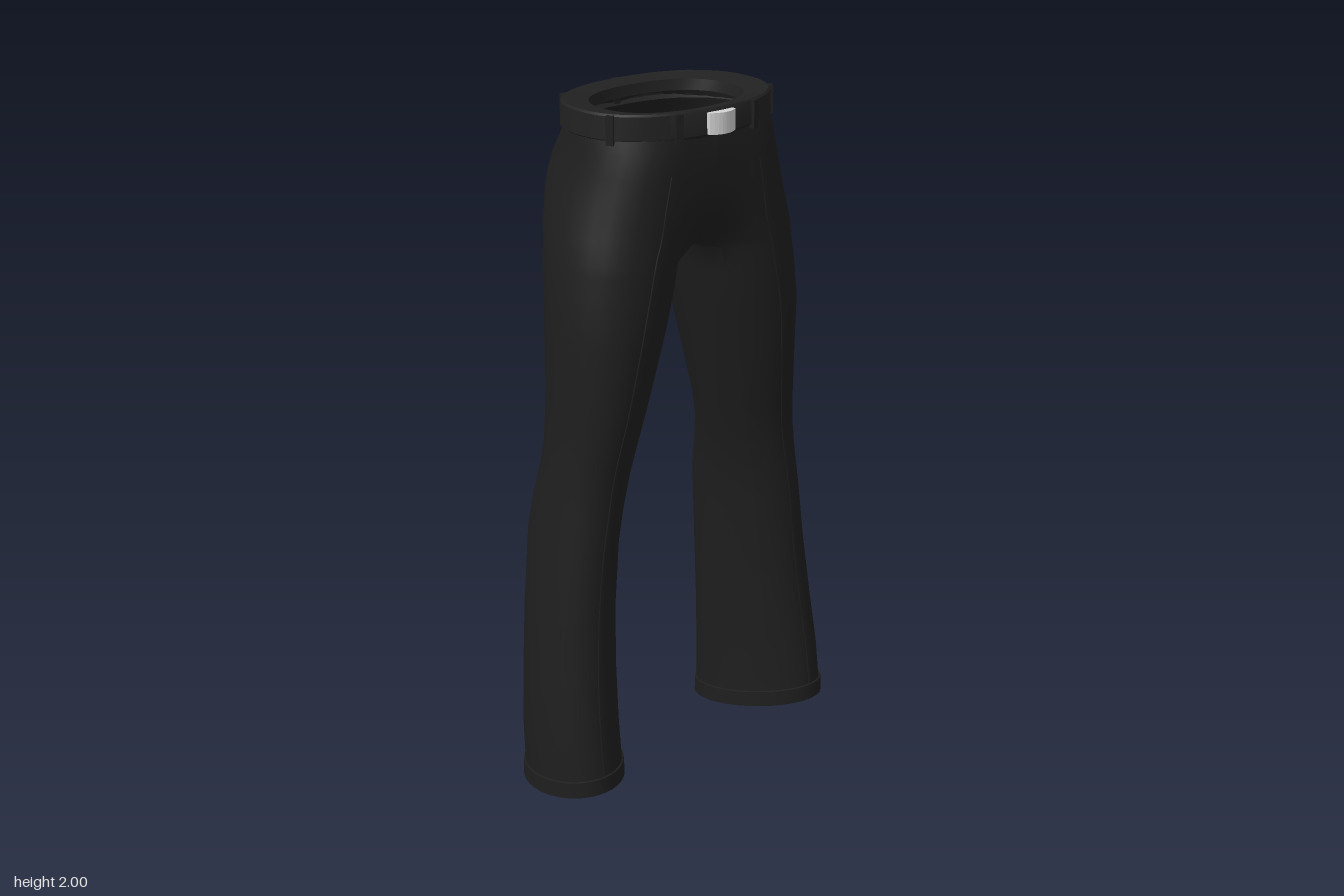
import * as THREE from 'three';
import { toCreasedNormals } from 'three/addons/utils/BufferGeometryUtils.js';

const mat = (name, color) => {
  const m = new THREE.MeshStandardMaterial({ color, side: THREE.DoubleSide });
  m.name = name;
  return m;
};

const SEG = 5, ARC = 16; // points per inner section and along the outer arc
const MID = -0.013;      // the waist sits slightly to the right of the feet

// Hip rows, open at the centre:
// y, outer x, front peak x, back peak x, front z, back z, centre front z, centre back z
const HIPS = [
  [1.96, 0.286, 0.08, 0.05, 0.209, -0.190, 0.210, -0.190],
  [1.90, 0.295, 0.12, 0.08, 0.218, -0.216, 0.221, -0.206],
  [1.84, 0.306, 0.15, 0.10, 0.217, -0.246, 0.219, -0.234],
  [1.79, 0.320, 0.16, 0.11, 0.217, -0.253, 0.216, -0.240],
  [1.74, 0.334, 0.17, 0.12, 0.216, -0.248, 0.210, -0.220],
  [1.68, 0.352, 0.18, 0.14, 0.215, -0.224, 0.187, -0.165],
  [1.615, 0.366, 0.20, 0.16, 0.214, -0.198, 0.130, -0.100],
];

// Leg rows, closed: y, inner x, outer x, front peak x, back peak x, front z, back z, tilt
const LEGS = [
  [1.59, 0.015, 0.370, 0.205, 0.180, 0.214, -0.190, 0],
  [1.52, 0.031, 0.379, 0.220, 0.195, 0.214, -0.168, 0],
  [1.40, 0.063, 0.388, 0.245, 0.215, 0.212, -0.150, 0],
  [1.20, 0.118, 0.391, 0.275, 0.245, 0.190, -0.135, 0],
  [1.08, 0.148, 0.402, 0.295, 0.265, 0.170, -0.127, 0],
  [1.00, 0.168, 0.412, 0.308, 0.278, 0.160, -0.135, 0],
  [0.90, 0.189, 0.425, 0.325, 0.290, 0.158, -0.162, 0],
  [0.80, 0.201, 0.438, 0.343, 0.297, 0.158, -0.181, 0],
  [0.60, 0.213, 0.462, 0.365, 0.307, 0.160, -0.185, 0.03],
  [0.40, 0.220, 0.481, 0.383, 0.317, 0.175, -0.186, 0.10],
  [0.22, 0.224, 0.495, 0.394, 0.321, 0.195, -0.187, 0.20],
  [0.075, 0.224, 0.496, 0.397, 0.321, 0.212, -0.187, 0.225],
];

// Point on a ring whose front and back peaks differ in x
const swing = (y, xe, xf, xb, zf, zb, a) => {
  const s = Math.sin(a), xm = (xf + xb) / 2;
  return [xm + ((xf - xb) / 2) * s + (xe - xm) * Math.cos(a), y, (zf + zb) / 2 + ((zf - zb) / 2) * s];
};

// Outer arc from the front peak round the side to the back peak
function outerArc(y, xo, xf, xb, zf, zb) {
  const out = [];
  for (let i = 0; i <= ARC; i++) out.push(swing(y, xo, xf, xb, zf, zb, Math.PI / 2 - (Math.PI * i) / ARC));
  return out;
}

function hipRing([y, xo, xf, xb, zf, zb, cf, cb], closed) {
  const front = [], back = [], crotch = [];
  for (let i = 0; i < SEG; i++) {
    const s = i / SEG, r = 1 - (i + 1) / SEG;
    front.push([xf * s, y, cf + (zf - cf) * Math.sin((s * Math.PI) / 2)]);
    back.push([xb * r, y, cb + (zb - cb) * Math.sin((r * Math.PI) / 2)]);
  }
  if (closed) for (let i = 1; i <= 2 * SEG; i++) crotch.push([0, y, cb + ((cf - cb) * i) / (2 * SEG)]);
  return [...front, ...outerArc(y, xo, xf, xb, zf, zb), ...back, ...crotch];
}

function legRing([y, xi, xo, xf, xb, zf, zb, tilt], grow = 0) {
  xi -= grow; xo += grow; zf += grow; zb -= grow;
  const inner = (a) => swing(y, xi, xf, xb, zf, zb, a);
  const q = Math.PI / 4, front = [], rest = [];
  for (let i = 0; i < SEG; i++) front.push(inner(q + (q * i) / SEG));
  for (let i = 1; i <= SEG; i++) rest.push(inner(-2 * q + (q * i) / SEG));
  for (let i = 1; i <= 2 * SEG; i++) rest.push(inner(-q + (q * i) / SEG));
  return [...front, ...outerArc(y, xo, xf, xb, zf, zb), ...rest].map(([x, h, z]) => [x, h + tilt * z, z]);
}

// Skin between successive rings
function loft(rings) {
  const pos = [], idx = [], starts = [];
  for (const r of rings) {
    starts.push(pos.length / 3);
    for (const p of r) pos.push(...p);
  }
  for (let i = 0; i + 1 < rings.length; i++) {
    const n = Math.min(rings[i].length, rings[i + 1].length);
    for (let j = 0; j + 1 < n; j++) {
      const a = starts[i] + j, c = starts[i + 1] + j;
      idx.push(a, c, a + 1, a + 1, c, c + 1);
    }
  }
  const g = new THREE.BufferGeometry();
  g.setAttribute('position', new THREE.Float32BufferAttribute(pos, 3));
  g.setIndex(idx);
  g.computeVertexNormals();
  return g;
}

// Slightly squared waist outline, angle measured from the front
const RX = 0.294, RZ = 0.214, CZ = 0.014;
const square = (v) => Math.sign(v) * Math.abs(v) ** 0.87;
const waist = (a, y, r = 1) => [MID + r * RX * square(Math.sin(a)), y, CZ + r * RZ * square(Math.cos(a))];

export function createModel() {
  const model = new THREE.Group();
  model.name = 'trousers';
  const cloth = mat('black cloth', 0x1e1e1e);
  const leather = mat('black belt', 0x212121);
  const metal = mat('silver buckle', 0xd2d2d2);
  const add = (parent, name, geo, material) => {
    const m = new THREE.Mesh(geo, material);
    m.name = name;
    parent.add(m);
    return m;
  };

  // Half of the hips with a leg, cuff and front crease
  const hem = LEGS[LEGS.length - 1];
  const cuffRow = (y, grow) => legRing([y, ...hem.slice(1)], grow);
  for (const side of [1, -1]) {
    const half = new THREE.Group();
    half.name = side > 0 ? 'leftLeg' : 'rightLeg';
    half.scale.x = side;
    // The centre line drifts from the waist to the feet
    const drift = (ring) => ring.map(([x, y, z]) =>
      [x + side * MID * THREE.MathUtils.clamp(0.2 + y / 1.5, 0, 1), y, z]);
    const rings = [
      ...HIPS.map((r, i) => hipRing(r, i === HIPS.length - 1)),
      ...LEGS.map((r) => legRing(r)),
    ].map(drift);
    add(half, 'legCloth', loft(rings), cloth);

    const cuff = [cuffRow(0.097, 0), cuffRow(0.095, 0.005), cuffRow(0.046, 0.007),
      cuffRow(0.046, -0.006), cuffRow(0.1, -0.006)].map(drift);
    add(half, 'cuff', toCreasedNormals(loft(cuff), 0.7), cloth);

    const path = new THREE.CatmullRomCurve3(rings.slice(2).map((r) => new THREE.Vector3(...r[SEG])));
    add(half, 'frontCrease', new THREE.TubeGeometry(path, 40, 0.003, 5), cloth);
    model.add(half);
  }

  // Thick waist belt with a wide flat top
  const beltRings = [[0.72, 1.96], [0.74, 1.99], [0.98, 2], [1, 1.995], [1.01, 1.935], [0.96, 1.925]]
    .map(([r, y]) => Array.from({ length: 41 }, (_, i) => waist((i / 40) * Math.PI * 2, y, r)));
  add(model, 'belt', toCreasedNormals(loft(beltRings), 0.7), leather);

  // Belt loops
  for (const deg of [22, -22, 64, -64, 136, -136, 180]) {
    const a = THREE.MathUtils.degToRad(deg);
    const loop = add(model, 'beltLoop', new THREE.BoxGeometry(0.02, 0.075, 0.014), cloth);
    loop.position.set(...waist(a, 1.96, 1.01));
    loop.rotation.y = Math.atan2(Math.sin(a) / RX, Math.cos(a) / RZ);
  }

  // Curved buckle plate
  const plate = new THREE.Shape();
  plate.moveTo(-0.043, 0.215);
  plate.lineTo(0.043, 0.215);
  plate.lineTo(0.043, 0.238);
  plate.quadraticCurveTo(0, 0.268, -0.043, 0.238);
  const buckleGeo = new THREE.ExtrudeGeometry(plate, { depth: 0.056, bevelEnabled: false, curveSegments: 8 });
  buckleGeo.rotateX(Math.PI / 2);
  add(model, 'buckle', buckleGeo, metal).position.set(MID, 1.991, 0);
  return model;
}
